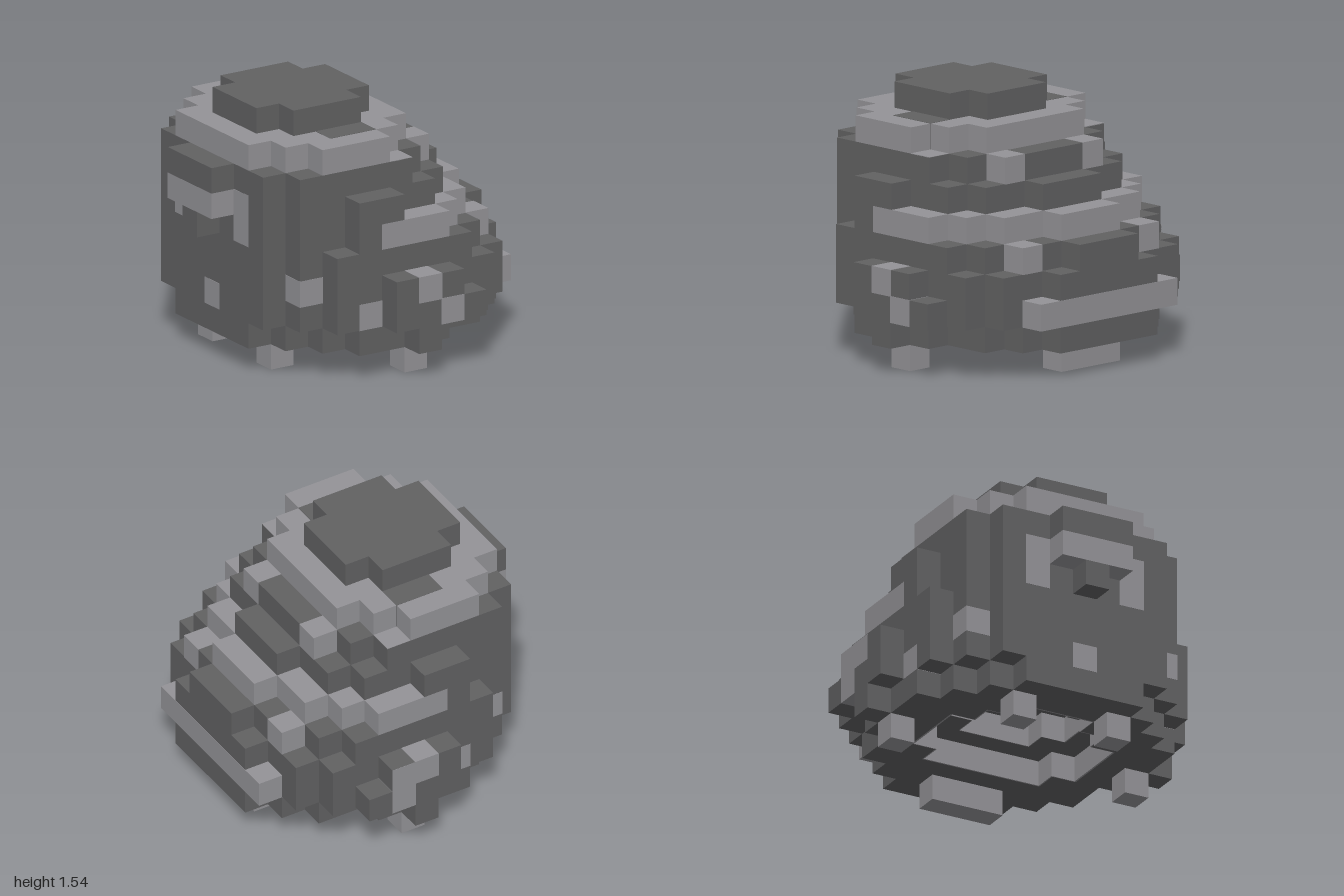
import * as THREE from 'three';

const U = 2 / 13; // edge of one block

// Outline of a layer, mirrored in z. spans[k] = [xMin, xMax] in blocks, k rows from the middle.
function outline(spans) {
  const n = spans.length - 1;
  const right = [], left = [];
  for (let k = -n; k <= n; k++) {
    const [a, b] = spans[Math.abs(k)];
    for (const z of [k - 0.5, k + 0.5]) {
      right.push(new THREE.Vector2(b * U, z * U));
      left.unshift(new THREE.Vector2(a * U, z * U));
    }
  }
  const pts = [...right, ...left];
  return pts.filter((p, i) => !p.equals(pts[(i + 1) % pts.length]));
}

// Stacked body layers, from the belly to the crown
const LAYERS = [
  [[-5, 6], [-5, 6], [-5, 6], [-4, 5], [-3, 4], [-2, 2], [0, 1]],
  [[-5, 6], [-5, 6], [-5, 6], [-5, 6], [-4, 5], [-3, 4], [-1, 3]],
  [[-5, 6], [-5, 6], [-5, 6], [-5, 5], [-4, 5], [-3, 4], [-1, 2]],
  [[-5, 6], [-5, 6], [-5, 5], [-5, 5], [-4, 4], [-3, 3]],
  [[-5, 5], [-5, 5], [-5, 4], [-5, 4], [-4, 3], [-2, 2]],
  [[-5, 4], [-5, 4], [-5, 3], [-5, 3], [-4, 2], [-2, 0]],
  [[-5, 3], [-5, 3], [-5, 3], [-5, 2], [-4, 1]],
  [[-5, 2], [-5, 2], [-5, 2], [-4, 1], [-3, 0]],
  [[-4, 1], [-4, 1], [-3, 0]],
];
// Stepped hollow under the belly, for the two lowest layers
const RECESS = [
  [[-3, 3], [-3, 3], [-2, 3], [-1, 2]],
  [[-2, 2], [-2, 2], [-1, 1]],
];

export function createModel() {
  const model = new THREE.Group();
  model.name = 'blockCreature';
  const dark = new THREE.MeshStandardMaterial({ color: 0x616162 });
  dark.name = 'dark grey';
  const light = new THREE.MeshStandardMaterial({ color: 0x949397 });
  light.name = 'light grey';

  const add = (name, geometry, material) => {
    const mesh = new THREE.Mesh(geometry, material);
    mesh.name = name;
    model.add(mesh);
  };

  // One slab of the body, one block high
  const slab = (name, level, spans, material, hole) => {
    const shape = new THREE.Shape(outline(spans));
    if (hole) shape.holes.push(new THREE.Path(hole));
    const geo = new THREE.ExtrudeGeometry(shape, { depth: U, bevelEnabled: false });
    geo.rotateX(-Math.PI / 2).translate(0, level * U, 0);
    add(name, geo, material);
  };

  // Box over a range of blocks; grow lifts a painted spot just off the surface
  const block = (name, x0, x1, level, z0, z1, material, grow = 0) => {
    const geo = new THREE.BoxGeometry((x1 - x0) * U + grow, U + grow, (z1 - z0 + 1) * U + grow);
    geo.translate((x0 + x1) / 2 * U, (level + 0.5) * U, (z0 + z1) / 2 * U);
    add(name, geo, material);
  };

  // Body
  LAYERS.forEach((spans, i) => {
    const level = i + 1;
    if (level <= 2) {
      // Hollow belly with a thin light lining
      const recess = RECESS[i];
      const mid = (recess[0][0] + recess[0][1]) / 2 * U;
      const inner = outline(recess).map(p => new THREE.Vector2((p.x - mid) * 0.98 + mid, p.y * 0.98));
      slab('belly', level, spans, dark, outline(recess));
      slab('recessLining', level, recess, light, inner);
    } else if (level === 5) {
      // Dark rear and light front band
      slab('bodyBandRear', level, spans.map(([a]) => [a, -1]), dark);
      slab('bodyBandFront', level, spans.map(([, b]) => [-1, b]), light);
    } else {
      slab(level === 9 ? 'crown' : 'bodyLayer' + level, level, spans, level === 8 ? light : dark);
    }
  });

  // Feet and front foot bar
  block('frontFootBar', 4, 5, 0, -1, 1, light);
  for (const s of [-1, 1]) {
    block('sideFoot', 0, 1, 0, 5 * s, 5 * s, light);
    block('rearFoot', -4, -3, 0, 2 * s, 2 * s, light);
  }

  // Tail
  block('tailTop', -6, -5, 7, -1, 1, dark);
  block('tailMiddle', -6, -5, 6, -1, 1, light);
  block('tailTip', -6, -5, 5, 0, 0, dark);

  // Painted spots
  const G = 0.004;
  block('mouthBar', 5, 6, 2, -3, 3, light, G);
  block('backSpot', -5, -4, 2, 0, 0, light, G);
  const spots = [ // x from, x to, level, row
    [2, 3, 7, 2], [4, 5, 4, 3], [-4, -3, 3, 4],
    [-2, -1, 2, 5], [0, 1, 3, 6], [1, 2, 2, 6],
    [-5, -4, 5, 2], [-5, -4, 6, 2],
  ];
  for (const s of [-1, 1]) {
    for (const [a, b, level, k] of spots) block('sideSpot', a, b, level, k * s, k * s, light, G);
    block('shoulderSpot', -2, 0, 8, 3 * s, 3 * s, dark, G);
    // Light top of the step beside the collar
    const plate = new THREE.BoxGeometry(U, 0.004, U);
    plate.translate(0.5 * U, 8 * U, 4 * s * U);
    add('collarStep', plate, light);
  }
  // Extra light face on the rear-facing side
  const face = new THREE.BoxGeometry(U, U, 0.004);
  face.translate(1.5 * U, 3.5 * U, -6.5 * U);
  add('sideSpotFace', face, light);
  return model;
}
